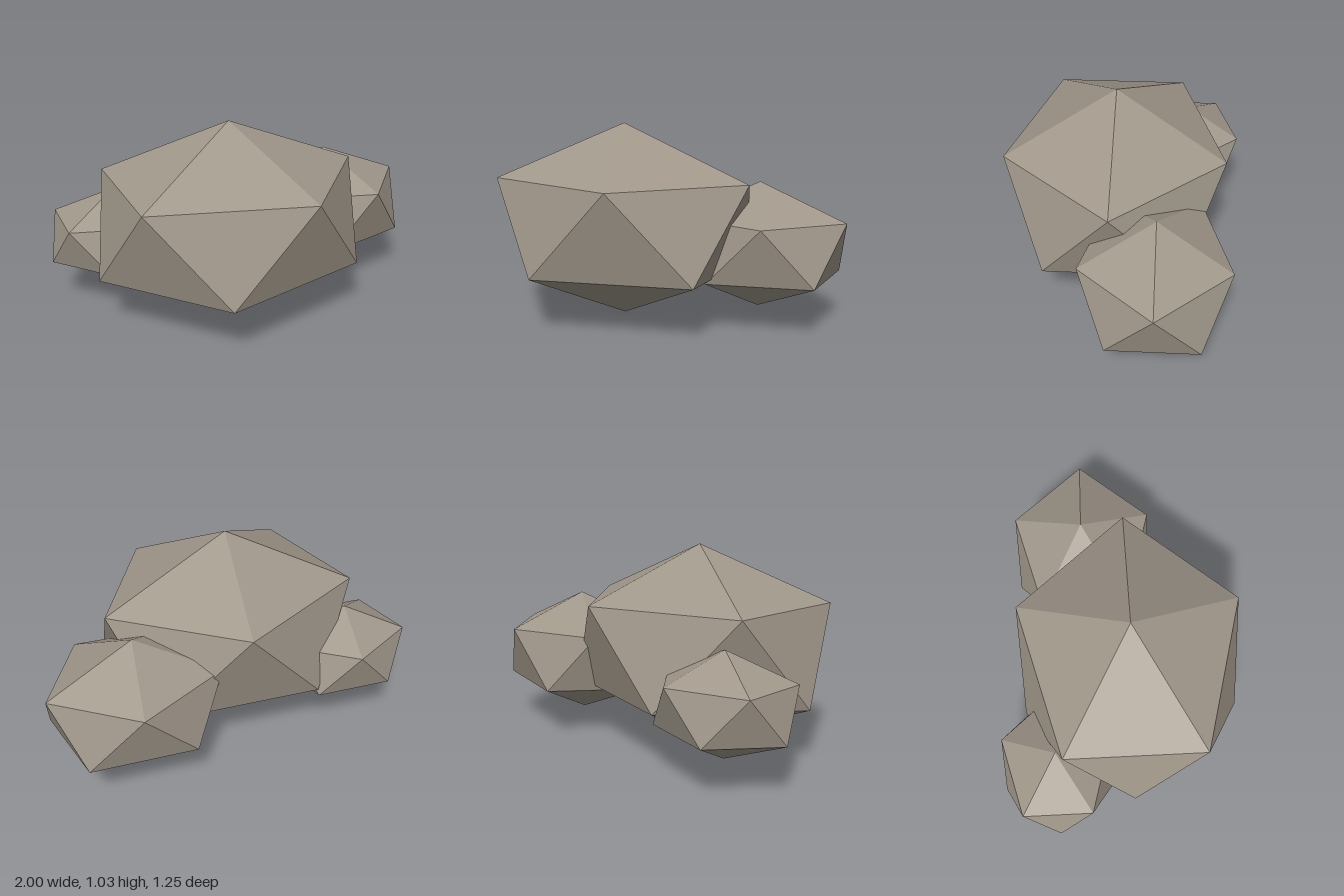
import * as THREE from 'three';

export function createModel() {
  const group = new THREE.Group();
  group.name = 'rockCluster';

  const stone = new THREE.MeshStandardMaterial({ color: 0xa0978a, flatShading: true });
  stone.name = 'warm grey stone';

  // Icosahedron standing on a corner, with one upper-ring corner towards +x
  const rockGeometry = new THREE.IcosahedronGeometry(1, 0);
  rockGeometry.rotateX(-Math.atan((1 + Math.sqrt(5)) / 2));
  rockGeometry.rotateY(Math.PI / 2);

  function addRock(name, position, radii) {
    const geometry = rockGeometry.clone().scale(...radii);
    geometry.computeVertexNormals();
    const rock = new THREE.Mesh(geometry, stone);
    rock.name = name;
    rock.position.set(...position);
    group.add(rock);
  }

  // Large boulder with two smaller ones behind its sides
  addRock('mainBoulder', [-0.138, 0.515, 0.053], [0.79, 0.515, 0.67]);
  addRock('leftBoulder', [0.542, 0.405, -0.172], [0.511, 0.331, 0.432]);
  addRock('rightBoulder', [-0.649, 0.358, -0.343], [0.392, 0.255, 0.333]);

  return group;
}
